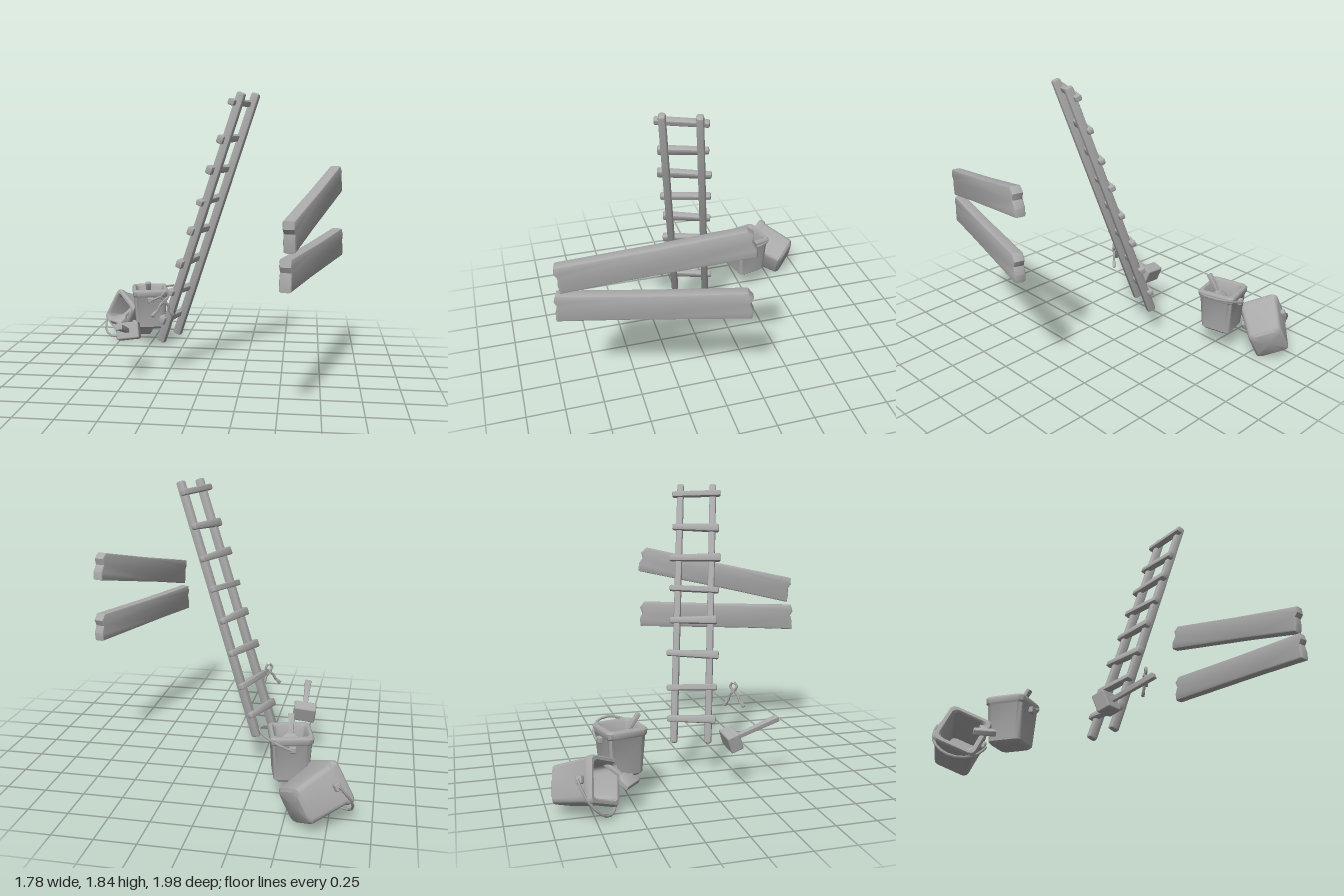
import * as THREE from 'three';
import { toCreasedNormals } from 'three/addons/utils/BufferGeometryUtils.js';
import { RoundedBoxGeometry } from 'three/addons/geometries/RoundedBoxGeometry.js';

const V = (x, y, z) => new THREE.Vector3(x, y, z);
const clay = new THREE.MeshStandardMaterial({ color: 0xaaaaaa });
clay.name = 'plain grey';

function part(name, geometry, parent, x = 0, y = 0, z = 0) {
  const mesh = new THREE.Mesh(geometry, clay);
  mesh.name = name;
  mesh.position.set(x, y, z);
  parent.add(mesh);
  return mesh;
}

function group(name, parent) {
  const g = new THREE.Group();
  g.name = name;
  parent.add(g);
  return g;
}

// turn an object so that its y axis follows `up` and its x axis leans to `side`
function orient(object, up, side) {
  const y = up.clone().normalize();
  const z = side.clone().cross(y).normalize();
  object.quaternion.setFromRotationMatrix(new THREE.Matrix4().makeBasis(y.clone().cross(z), y, z));
  return object;
}

// tapered bar: bottom and top widths along x, thickness scaled alike
function bar(w0, w1, length, depth, r = 0.008) {
  const g = new RoundedBoxGeometry(Math.max(w0, w1), length, depth, 1, r);
  const p = g.attributes.position;
  for (let i = 0; i < p.count; i++) {
    const s = THREE.MathUtils.lerp(w0, w1, p.getY(i) / length + 0.5) / Math.max(w0, w1);
    p.setX(i, p.getX(i) * s);
    p.setZ(i, p.getZ(i) * (0.5 + s / 2));
  }
  return toCreasedNormals(g, 0.6);
}

// rounded-square cross-sections stacked along y, given as [half width, height]
function squareLoft(profile, radius) {
  const pos = [], index = [], n = 16;
  for (const [h, y] of profile) {
    const r = Math.min(radius, h);
    for (let k = 0; k < 4; k++) {
      const mid = (k + 0.5) * Math.PI / 2;
      for (let t = 0; t < 4; t++) {
        const a = (k + t / 3) * Math.PI / 2;
        pos.push((h - r) * Math.sign(Math.cos(mid)) + r * Math.cos(a), y,
          (h - r) * Math.sign(Math.sin(mid)) + r * Math.sin(a));
      }
    }
  }
  for (let i = 0; i < profile.length - 1; i++) {
    for (let j = 0; j < n; j++) {
      const a = i * n + j, b = i * n + (j + 1) % n;
      index.push(a, a + n, b, b, a + n, b + n);
    }
  }
  const g = new THREE.BufferGeometry();
  g.setAttribute('position', new THREE.Float32BufferAttribute(pos, 3));
  g.setIndex(index);
  return toCreasedNormals(g, 0.7);
}

// square pail with a wire handle swung to its +x side
function makeBucket(name, parent, floor) {
  const g = group(name, parent);
  part('pail', squareLoft([[0, 0], [0.09, 0], [0.105, 0.015], [0.119, 0.24], [0.127, 0.25], [0.129, 0.28],
    [0.121, 0.292], [0.105, 0.292], [0.096, 0.28], [0.078 + floor * 0.05, floor], [0, floor]], 0.03), g);
  const points = [];
  for (let i = 0; i <= 8; i++) {
    const a = (i / 8 - 0.5) * Math.PI;
    points.push(V(0.185 * Math.cos(a), 0.22 + 0.075 * Math.cos(a), 0.15 * Math.sin(a)));
  }
  part('wireHandle', new THREE.TubeGeometry(new THREE.CatmullRomCurve3(points), 12, 0.008, 5), g);
  for (const s of [-1, 1]) part('handleMount', new RoundedBoxGeometry(0.045, 0.04, 0.03, 1, 0.008), g, 0, 0.22, s * 0.13);
  return g;
}

// flat brush: bristles at the bottom, handle above
function makeBrush(name, parent) {
  const g = group(name, parent);
  part('bristles', bar(0.135, 0.12, 0.07, 0.035), g, 0, 0, 0);
  part('ferrule', bar(0.11, 0.05, 0.035, 0.032), g, 0, 0.045, 0);
  part('handle', bar(0.03, 0.04, 0.13, 0.028), g, 0, 0.12, 0);
  return g;
}

function makePlank(name, parent, near, far, height) {
  const dir = far.clone().sub(near), L = dir.length() / 2 - 0.012, h = height / 2 - 0.012;
  // worn ends with a shallow notch
  const outline = [[-L, -h], [-L * 0.3, -h + 0.004], [L, -h], [L + 0.006, -h * 0.5], [L - 0.014, 0.01], [L + 0.004, h * 0.6],
    [L - 0.02, h], [0, h - 0.004], [-L + 0.01, h], [-L, h * 0.6], [-L + 0.016, h * 0.2], [-L + 0.002, -h * 0.4]];
  const g = new THREE.ExtrudeGeometry(new THREE.Shape(outline.map(([x, y]) => new THREE.Vector2(x, y))),
    { depth: 0.044, bevelEnabled: true, bevelThickness: 0.014, bevelSize: 0.012, bevelSegments: 2 });
  g.translate(0, 0, -0.022);
  const mesh = part(name, toCreasedNormals(g, 0.6), parent);
  mesh.position.copy(near).add(far).multiplyScalar(0.5);
  const x = dir.normalize(), z = x.clone().cross(V(0, 1, 0)).normalize();
  mesh.quaternion.setFromRotationMatrix(new THREE.Matrix4().makeBasis(x, z.clone().cross(x), z));
}

export function createModel() {
  const model = new THREE.Group();
  model.name = 'workSet';

  // leaning ladder
  const ladder = group('ladder', model);
  const foot = [V(-0.3, 0.225, 0.065), V(-0.225, 0.225, -0.14)];
  const rise = V(0.545, 1.63, 0.203);
  const across = foot[0].clone().sub(foot[1]).normalize();
  const face = across.clone().cross(rise).normalize();
  if (face.x > 0) face.negate();
  for (const f of foot) {
    const rail = part('rail', bar(0.06, 0.056, rise.length(), 0.045, 0.014), ladder);
    rail.position.copy(f).addScaledVector(rise, 0.5);
    orient(rail, rise, face);
  }
  const tilt = [0.0, 0.03, -0.03, 0.02, -0.04, 0.02, -0.02, 0.03];
  [0.37, 0.56, 0.765, 0.975, 1.17, 1.37, 1.565, 1.785].forEach((y, i) => {
    const wide = i % 3 === 1 ? 0.04 : 0.055;
    const rung = part('rung', bar(0.038, wide, 0.31 + (i % 3) * 0.014, 0.046, 0.01), ladder);
    rung.position.copy(foot[0]).add(foot[1]).multiplyScalar(0.5)
      .addScaledVector(rise, (y - 0.225) / rise.y).addScaledVector(face, 0.027);
    orient(rung, across.clone().add(V(0, tilt[i], 0)), rise);
  });

  // two loose planks
  makePlank('upperPlank', model, V(0.555, 1.075, 0.975), V(0.838, 1.312, -0.1), 0.18);
  makePlank('lowerPlank', model, V(0.538, 0.872, 0.995), V(0.853, 0.897, -0.1), 0.182);

  // upright bucket with a brush standing in it
  const upright = makeBucket('uprightBucket', model, 0.18);
  upright.position.set(-0.495, 0.167, -0.545);
  upright.rotation.y = 0.23;
  const dipped = makeBrush('dippedBrush', model);
  dipped.position.set(-0.495, 0.365, -0.53);
  orient(dipped, V(0.01, 0.15, 0.1), V(1, 0, -0.1));

  // tipped bucket and the brush that fell out
  const tipped = makeBucket('tippedBucket', model, 0.05);
  tipped.position.set(-0.563, 0.143, -0.9);
  tipped.scale.setScalar(1.06);
  orient(tipped, V(-0.66, 0.27, 0.7), V(-0.58, -0.81, 0.05));
  const fallen = makeBrush('fallenBrush', model);
  fallen.position.set(-0.735, 0.195, -0.545);
  orient(fallen, V(0.11, 0.09, -0.12), V(0.78, 0.05, 0.62));

  // mallet
  const mallet = group('mallet', model);
  mallet.position.set(-0.505, 0.31, 0.15);
  orient(mallet, V(0.03, 0.33, 0.94), V(1, 0.15, 0));
  part('malletHead', new RoundedBoxGeometry(0.15, 0.085, 0.11, 1, 0.01), mallet);
  part('malletHandle', bar(0.028, 0.046, 0.29, 0.036), mallet, 0, 0.185, 0);

  // open pliers
  const pliers = group('pliers', model);
  pliers.position.set(-0.245, 0.545, 0.255);
  orient(pliers, V(0.1, 1, 0), V(0.78, 0, -0.62));
  part('pivot', new THREE.CylinderGeometry(0.014, 0.014, 0.03, 8), pliers).rotation.x = Math.PI / 2;
  for (const s of [-1, 1]) {
    const arm = new THREE.CatmullRomCurve3([V(s * 0.006, 0.055, 0), V(s * 0.026, 0.03, 0), V(0, 0, 0),
      V(-s * 0.03, -0.03, 0), V(-s * 0.042, -0.06, 0), V(-s * 0.072, -0.095, 0)]);
    part('plierArm', new THREE.TubeGeometry(arm, 12, 0.009, 5), pliers);
    part('grip', bar(0.024, 0.018, 0.045, 0.02, 0.005), pliers, -s * 0.062, -0.083, 0).rotation.z = -s * 0.7;
  }
  return model;
}
